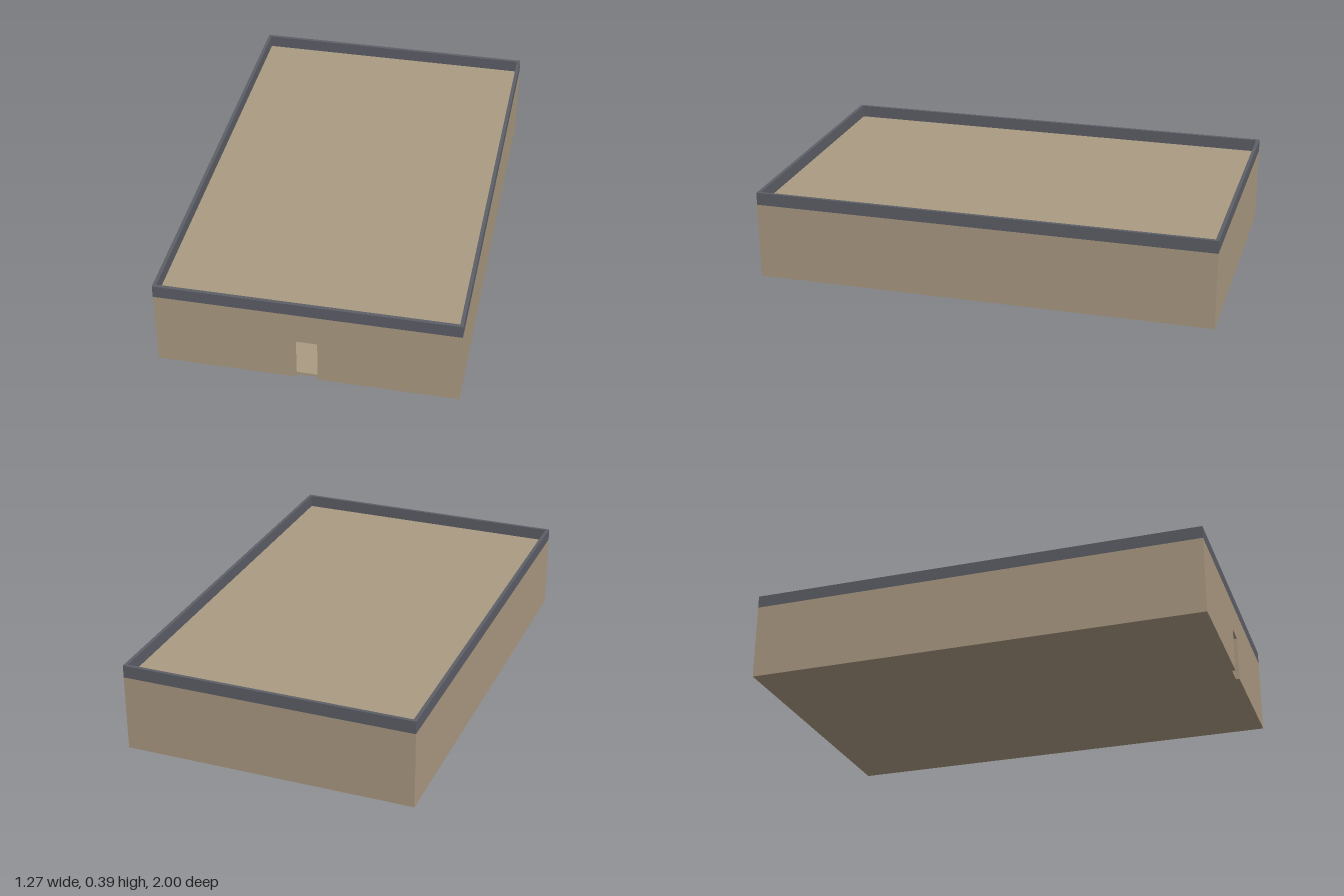
import * as THREE from 'three';

const W = 1.27, D = 2, WALL_H = 0.335, TOP = 0.39, T = 0.015, SLAB = 0.013;
const DOOR_W = 0.092, DOOR_H = 0.195;

export function createModel() {
  const building = new THREE.Group();
  building.name = 'building';
  const tan = new THREE.MeshStandardMaterial({ color: 0xab9a82 });
  tan.name = 'tan plaster';
  const slate = new THREE.MeshStandardMaterial({ color: 0x5d5f67 });
  slate.name = 'slate trim';

  const add = (name, geometry, material, x, y, z) => {
    const mesh = new THREE.Mesh(geometry, material);
    mesh.name = name;
    mesh.position.set(x, y, z);
    building.add(mesh);
  };
  const box = (name, w, h, d, material, x, y, z) =>
    add(name, new THREE.BoxGeometry(w, h, d), material, x, y, z);

  // Front wall with a doorway open down to the ground
  const w = W / 2, d = DOOR_W / 2;
  const front = new THREE.Shape([
    [-w, 0], [-d, 0], [-d, DOOR_H], [d, DOOR_H], [d, 0], [w, 0], [w, WALL_H], [-w, WALL_H],
  ].map(([x, y]) => new THREE.Vector2(x, y)));
  add('frontWall', new THREE.ExtrudeGeometry(front, { depth: T, bevelEnabled: false }), tan, 0, 0, D / 2 - T);

  // Back and side walls
  box('backWall', W, WALL_H, T, tan, 0, WALL_H / 2, -D / 2 + T / 2);
  for (const [name, s] of [['leftWall', 1], ['rightWall', -1]])
    box(name, T, WALL_H, D - 2 * T, tan, s * (W - T) / 2, WALL_H / 2, 0);

  // Floor and flat roof between the walls
  box('floor', W - 2 * T, SLAB, D - 2 * T, tan, 0, SLAB / 2, 0);
  box('roof', W - 2 * T, SLAB, D - 2 * T, tan, 0, WALL_H - SLAB / 2, 0);

  // Parapet ring on top of the walls
  const h = TOP - WALL_H, y = (TOP + WALL_H) / 2;
  for (const [end, side, s] of [['front', 'left', 1], ['back', 'right', -1]]) {
    box(end + 'Parapet', W, h, T, slate, 0, y, s * (D - T) / 2);
    box(side + 'Parapet', T, h, D - 2 * T, slate, s * (W - T) / 2, y, 0);
  }
  return building;
}
